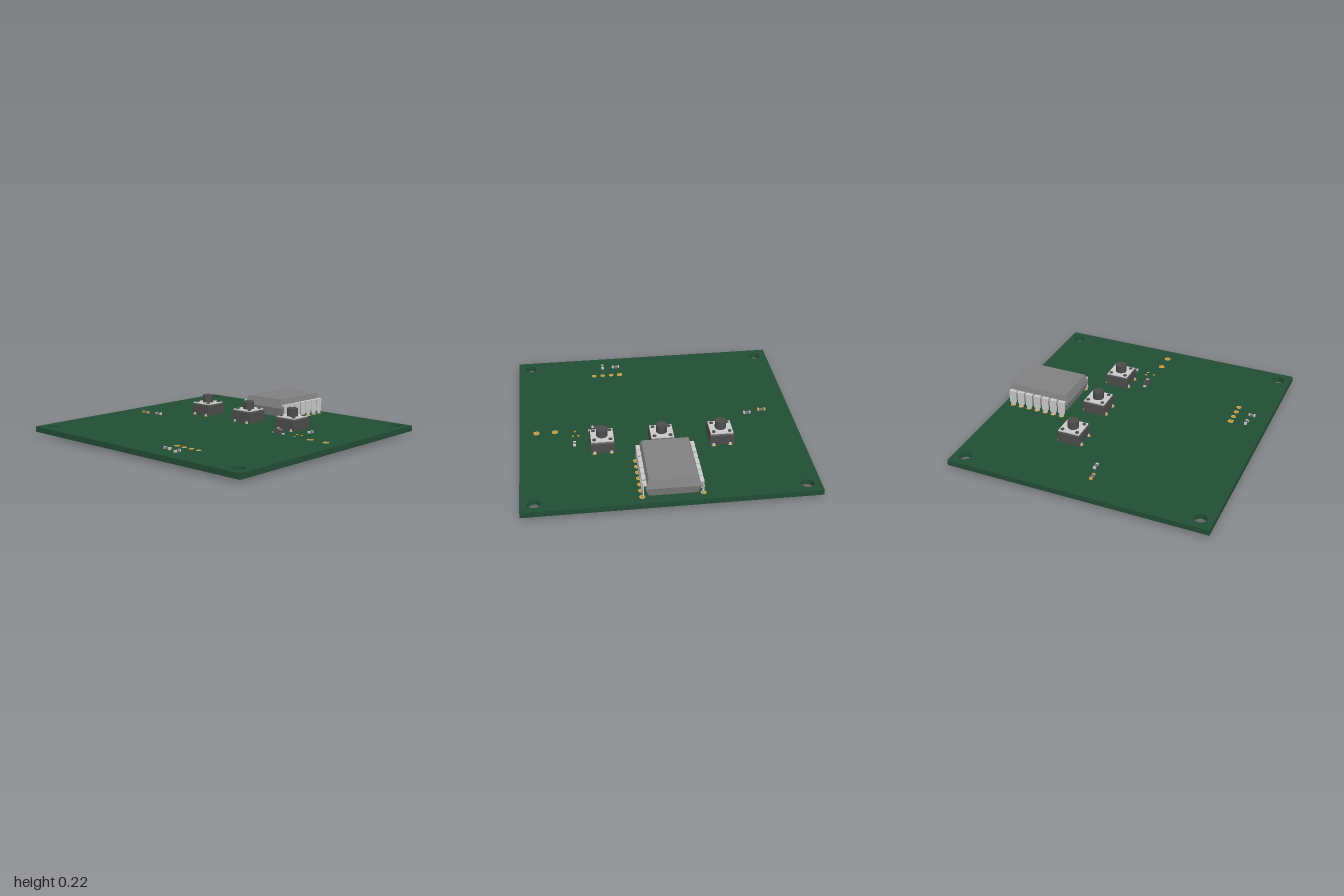
import * as THREE from 'three';

const TOP = 0.06, BOTTOM = 0.02, HALF_Z = 0.945;

function mat(name, color) {
  const m = new THREE.MeshStandardMaterial({ color });
  m.name = name;
  return m;
}
const M = {
  board: mat('board green', 0x214d34),
  chip: mat('chip grey', 0x808080),
  dark: mat('dark plastic', 0x4c4c4c),
  steel: mat('steel', 0xc8c8c8),
  gold: mat('gold', 0xd2a84a),
  ceramic: mat('ceramic grey', 0x77727a),
};

function add(parent, name, geometry, material, x = 0, y = 0, z = 0) {
  const mesh = new THREE.Mesh(geometry, material);
  mesh.name = name;
  mesh.position.set(x, y, z);
  parent.add(mesh);
  return mesh;
}

function group(parent, name, x = 0, y = 0, z = 0) {
  const g = new THREE.Group();
  g.name = name;
  g.position.set(x, y, z);
  parent.add(g);
  return g;
}

// Box standing on y = 0 with different bottom and top sizes
function taperedBox(w0, d0, w1, d1, h) {
  const geo = new THREE.BoxGeometry(1, h, 1).translate(0, h / 2, 0);
  const p = geo.attributes.position;
  for (let i = 0; i < p.count; i++) {
    const up = p.getY(i) > h / 2;
    p.setX(i, p.getX(i) * (up ? w1 : w0));
    p.setZ(i, p.getZ(i) * (up ? d1 : d0));
  }
  geo.computeVertexNormals();
  return geo;
}

function circlePath(x, y, r) {
  return new THREE.Path().absarc(x, y, r, 0, Math.PI * 2, true);
}

// Flat shape extruded upward; shape y becomes -z
function slab(shape, h) {
  return new THREE.ExtrudeGeometry(shape, { depth: h, bevelEnabled: false, curveSegments: 12 })
    .rotateX(-Math.PI / 2);
}

// Surface part with a metal end at each side, lying along x
function addSurfacePart(parent, name, x, z, turned, endMaterial, length = 0.054) {
  const g = group(parent, name, x, TOP, z);
  if (turned) g.rotation.y = Math.PI / 2;
  add(g, 'partBody', new THREE.BoxGeometry(length * 0.62, 0.014, 0.018), M.ceramic, 0, 0.007, 0);
  for (const s of [-1, 1]) {
    add(g, 'partEnd', new THREE.BoxGeometry(length * 0.19, 0.016, 0.02), endMaterial, s * length * 0.405, 0.008, 0);
  }
}

export function createModel() {
  const model = new THREE.Group();
  model.name = 'circuitBoard';

  const pinZ = Array.from({ length: 7 }, (_, i) => -0.874 + i * 0.0667);
  const buttonX = [-0.42, 0, 0.42];
  const buttonZ = -0.267;

  // Plated holes: [x, z, outer radius, hole radius, square]
  const vias = [];
  for (const s of [-1, 1]) for (const z of pinZ) vias.push([s * 0.203, z, 0.02, 0.013]);
  for (const bx of buttonX) {
    for (const sx of [-1, 1]) for (const sz of [-1, 1]) {
      vias.push([bx + sx * 0.059, buttonZ + sz * 0.085, 0.016, 0.01]);
    }
  }
  for (let i = 0; i < 4; i++) vias.push([0.213 + i * 0.0667, 0.69, 0.019, 0.013, i === 0]);
  for (const x of [0.745, 0.878]) vias.push([x, -0.057, 0.023, 0.016]);

  // Board with corner holes and plated holes
  const outline = new THREE.Shape([
    new THREE.Vector2(-1, -HALF_Z), new THREE.Vector2(1, -HALF_Z),
    new THREE.Vector2(1, HALF_Z), new THREE.Vector2(-1, HALF_Z),
  ]);
  for (const sx of [-1, 1]) for (const z of [-0.86, 0.853]) {
    outline.holes.push(circlePath(sx * 0.907, -z, 0.043));
  }
  for (const [x, z, , r] of vias) outline.holes.push(circlePath(x, -z, r + 0.001));
  add(model, 'board', slab(outline, TOP - BOTTOM), M.board, 0, BOTTOM, 0);

  // Gold pads lining each hole
  const pads = group(model, 'platedHoles');
  for (const [x, z, outer, inner, square] of vias) {
    const face = new THREE.Shape();
    if (square) {
      face.moveTo(-outer, -outer).lineTo(outer, -outer).lineTo(outer, outer).lineTo(-outer, outer).closePath();
    } else {
      face.absarc(0, 0, outer, 0, Math.PI * 2, false);
    }
    face.holes.push(circlePath(0, 0, inner));
    add(pads, 'platedHole', slab(face, TOP - BOTTOM + 0.003), M.gold, x, BOTTOM - 0.0015, z);
  }

  // Chip: two tapered halves meeting at the widest line
  const chip = group(model, 'chip', 0, 0, -0.675);
  add(chip, 'chipLower', taperedBox(0.325, 0.445, 0.365, 0.48, 0.065), M.chip, 0, 0.085, 0);
  add(chip, 'chipUpper', taperedBox(0.365, 0.48, 0.325, 0.442, 0.065), M.chip, 0, 0.15, 0);

  // Chip pins: wide shoulder, narrow leg through the board
  const side = [[0.027, 0.175], [0.027, 0.085], [0.011, 0.06], [0.009, 0.004], [0.006, 0]];
  const outlinePts = [
    ...side.map(([a, b]) => new THREE.Vector2(a, b)),
    ...side.slice().reverse().map(([a, b]) => new THREE.Vector2(-a, b)),
  ];
  const legGeo = new THREE.ExtrudeGeometry(new THREE.Shape(outlinePts), { depth: 0.008, bevelEnabled: false })
    .translate(0, 0, -0.004).rotateY(Math.PI / 2);
  const armGeo = new THREE.BoxGeometry(0.032, 0.008, 0.054);
  const pins = group(model, 'chipPins');
  for (const s of [-1, 1]) for (const z of pinZ) {
    add(pins, 'pinLeg', legGeo, M.steel, s * 0.198, 0, z);
    add(pins, 'pinArm', armGeo, M.steel, s * 0.183, 0.171, z);
  }

  // Push buttons
  for (const x of buttonX) {
    const b = group(model, 'pushButton', x, TOP, buttonZ);
    add(b, 'buttonBase', new THREE.BoxGeometry(0.17, 0.075, 0.17), M.dark, 0, 0.0385, 0);
    add(b, 'buttonShoulder', taperedBox(0.17, 0.17, 0.158, 0.158, 0.012), M.dark, 0, 0.076, 0);
    add(b, 'buttonPlate', new THREE.BoxGeometry(0.16, 0.007, 0.16), M.steel, 0, 0.0895, 0);
    add(b, 'buttonPlunger', new THREE.CylinderGeometry(0.04, 0.04, 0.062, 24), M.dark, 0, 0.119, 0);
    for (const sx of [-1, 1]) for (const sz of [-1, 1]) {
      add(b, 'buttonRivet', new THREE.CylinderGeometry(0.014, 0.014, 0.008, 12), M.dark, sx * 0.057, 0.094, sz * 0.057);
      add(b, 'buttonLeg', new THREE.BoxGeometry(0.018, 0.055, 0.006), M.steel, sx * 0.059, -0.012, sz * 0.087);
    }
  }

  // Small surface parts
  addSurfacePart(model, 'lamp', -0.79, 0.05, false, M.gold, 0.06);
  addSurfacePart(model, 'resistor', -0.675, 0.022, false, M.steel);
  addSurfacePart(model, 'resistor', 0.613, -0.23, true, M.steel, 0.045);
  addSurfacePart(model, 'resistor', 0.235, 0.8, false, M.steel);
  addSurfacePart(model, 'resistor', 0.34, 0.812, true, M.steel, 0.048);

  // Diode
  const diode = group(model, 'diode', 0.457, TOP, -0.068);
  add(diode, 'diodeBody', taperedBox(0.07, 0.034, 0.062, 0.028, 0.03), M.dark, 0, 0.002, 0);
  add(diode, 'diodeBand', new THREE.BoxGeometry(0.012, 0.002, 0.028), M.steel, 0.018, 0.0325, 0);
  for (const s of [-1, 1]) {
    add(diode, 'diodeLead', new THREE.BoxGeometry(0.018, 0.006, 0.02), M.steel, s * 0.042, 0.003, 0);
  }

  // Bare surface pads
  for (const [x, z] of [[0.58, -0.122], [0.62, -0.122], [0.603, -0.066], [0.262, 0.808]]) {
    add(model, 'surfacePad', new THREE.BoxGeometry(0.012, 0.003, 0.016), M.gold, x, TOP + 0.001, z);
  }
  return model;
}
